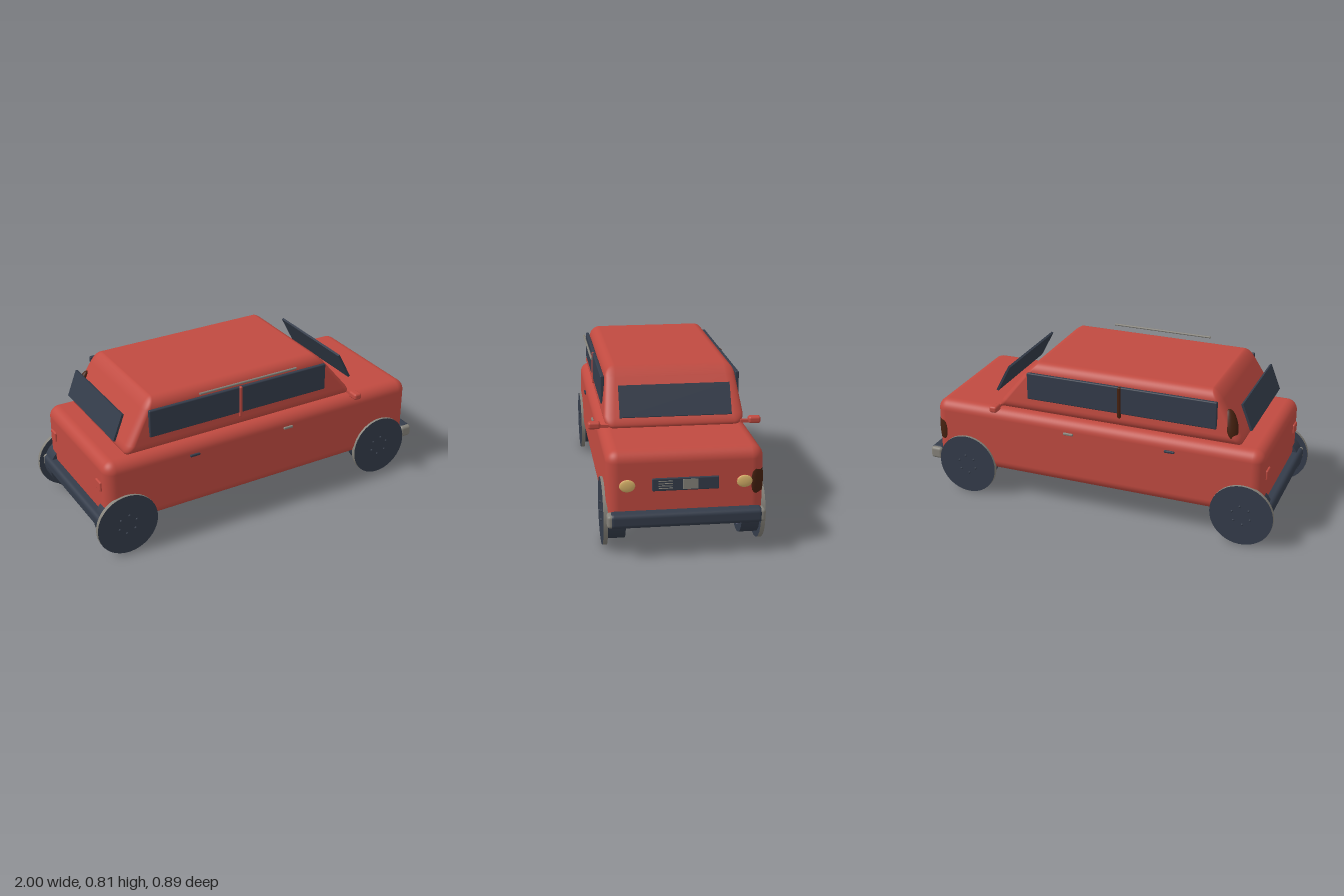
import * as THREE from 'three';
import { mergeVertices } from 'three/addons/utils/BufferGeometryUtils.js';
import { RoundedBoxGeometry } from 'three/addons/geometries/RoundedBoxGeometry.js';

const paint = (name, color) => {
  const m = new THREE.MeshStandardMaterial({ color });
  m.name = name;
  return m;
};

export function createModel() {
  const car = new THREE.Group();
  car.name = 'car';
  const red = paint('redPaint', 0xc04a40);
  const dark = paint('darkSlate', 0x343c4a);
  const grey = paint('warmGrey', 0x85827a);
  const yellow = paint('lampYellow', 0xd9b36a);
  const brown = paint('darkBrown', 0x45200f);
  const lavender = paint('hubLavender', 0x747596);

  const add = (name, geo, mat, x, y, z, parent = car) => {
    const m = new THREE.Mesh(geo, mat);
    m.name = name;
    m.position.set(x, y, z);
    parent.add(m);
    return m;
  };
  const rbox = (w, h, d, r, s = 4) => new RoundedBoxGeometry(w, h, d, s, r);
  const box = (w, h, d) => new THREE.BoxGeometry(w, h, d);

  // Lower body
  add('body', rbox(1.87, 0.375, 0.772, 0.06, 6), red, 0.005, 0.3425, 0);

  // Cabin: rounded box tapered towards the roof
  let cabin = rbox(2, 0.28, 0.73, 0.055, 6);
  const p = cabin.attributes.position;
  for (let i = 0; i < p.count; i++) {
    const t = (p.getY(i) + 0.14) / 0.28;
    const front = THREE.MathUtils.lerp(0.59, 0.36, t);
    const rear = THREE.MathUtils.lerp(-0.82, -0.65, t);
    const u = (p.getX(i) + 1) / 2;
    p.setX(i, rear + (front - rear) * u);
    p.setZ(i, p.getZ(i) * (1 - 0.085 * t));
  }
  cabin.deleteAttribute('normal');
  cabin.deleteAttribute('uv');
  cabin = mergeVertices(cabin, 1e-5);
  cabin.computeVertexNormals();
  add('cabin', cabin, red, 0, 0.672, 0);

  // Slanted front and rear glass, standing off the cabin
  const pane = (name, x0, y0, x1, y1) => {
    const len = Math.hypot(x1 - x0, y1 - y0);
    const m = add(name, box(0.012, len, 0.57), dark, (x0 + x1) / 2, (y0 + y1) / 2, 0);
    m.rotation.z = -Math.atan2(x1 - x0, y1 - y0);
  };
  pane('windshield', 0.604, 0.6, 0.527, 0.747);
  pane('rearWindow', -0.832, 0.603, -0.778, 0.742);

  // Parts repeated on both sides
  for (const s of [1, -1]) {
    const side = s > 0 ? 'Front' : 'Back';
    add('sideWindow' + side, rbox(1.055, 0.15, 0.02, 0.006, 2), dark, -0.142, 0.69, s * 0.354);
    add('windowPillar' + side, rbox(0.018, 0.175, 0.02, 0.006, 2), s > 0 ? red : brown, -0.142, 0.678, s * 0.359);
    add('mirror' + side, rbox(0.045, 0.036, 0.063, 0.012), red, 0.557, 0.554, s * 0.412);
    add('mirrorArm' + side, box(0.02, 0.016, 0.05), red, 0.557, 0.548, s * 0.365);
    for (const x of [-0.43, 0.14])
      add('doorHandle' + side, rbox(0.056, 0.013, 0.014, 0.004, 2), x < 0 ? dark : grey, x, 0.458, s * 0.388);

    // Headlight with painted base, and tail light
    const base = add('headlightBase', new THREE.CylinderGeometry(1, 1, 0.016, 32), red, 0.943, 0.362, s * 0.286);
    base.rotation.z = -Math.PI / 2;
    base.scale.set(0.029, 1, 0.038);
    const lamp = add('headlight', new THREE.SphereGeometry(1, 32, 16), yellow, 0.949, 0.362, s * 0.286);
    lamp.scale.set(0.008, 0.031, 0.039);
    add('tailLight', rbox(0.02, 0.055, 0.06, 0.007, 2), red, -0.93, 0.382, s * 0.29);

    // Wheels: wide outer disc, narrower inner tyre, ring of bolts
    for (const x of [-0.83, 0.755]) {
      const wheel = new THREE.Group();
      wheel.name = (x > 0 ? 'frontWheel' : 'rearWheel') + side;
      wheel.position.set(x, 0.17, 0);
      car.add(wheel);
      const disc = new THREE.CylinderGeometry(0.17, 0.17, 0.022, 40);
      add('wheelDisc', disc, [grey, dark, dark], 0, 0, s * 0.389, wheel).rotation.x = s * Math.PI / 2;
      const tyre = new THREE.CylinderGeometry(0.14, 0.14, 0.092, 40);
      add('innerTyre', tyre, dark, 0, 0, s * 0.334, wheel).rotation.x = s * Math.PI / 2;
      const hub = new THREE.CylinderGeometry(0.1, 0.1, 0.006, 32);
      add('innerHub', hub, lavender, 0, 0, s * 0.287, wheel).rotation.x = s * Math.PI / 2;
      for (let i = 0; i < 6; i++) {
        const a = (i / 6) * Math.PI * 2 + 0.35;
        add('wheelBolt', new THREE.SphereGeometry(0.007, 10, 6), dark,
          0.052 * Math.cos(a), 0.052 * Math.sin(a), s * 0.399, wheel);
      }
    }
  }

  // Front grille with a bright centre plate
  add('grille', rbox(0.016, 0.064, 0.326, 0.005, 2), dark, 0.942, 0.361, 0.002);
  add('grillePlate', box(0.004, 0.05, 0.075), grey, 0.951, 0.361, -0.022);
  for (let i = 0; i < 4; i++)
    add('grilleSlat', box(0.003, 0.004, 0.07), grey, 0.9505, 0.343 + i * 0.012, 0.1);

  // Bumpers with lighter end caps
  const bumper = (name, x, w) => {
    add(name, rbox(w, 0.074, 0.75, 0.022), dark, x, 0.195, 0);
    for (const s of [1, -1])
      add(name + 'Cap', rbox(w - 0.006, 0.066, 0.035, 0.016), grey, x, 0.195, s * 0.37);
  };
  bumper('frontBumper', 0.96, 0.074);
  bumper('rearBumper', -0.945, 0.065);

  // Thin rail beside the roof
  add('roofRail', new THREE.CylinderGeometry(0.006, 0.006, 0.576, 10), grey, -0.112, 0.806, 0.392)
    .rotation.z = Math.PI / 2;

  // Dark patches on two corners
  const patch = (name, x, y, z, rx, ry, rz, turn, lean) => {
    const m = add(name, new THREE.SphereGeometry(1, 28, 16), brown, x, y, z);
    m.scale.set(rx, ry, rz);
    m.rotation.set(0, turn, lean);
  };
  patch('bodyPatch', 0.907, 0.355, -0.352, 0.026, 0.115, 0.046, Math.PI / 4, 0);
  patch('cabinPatch', -0.738, 0.635, -0.322, 0.026, 0.085, 0.036, -Math.PI / 4, -0.4);

  return car;
}
